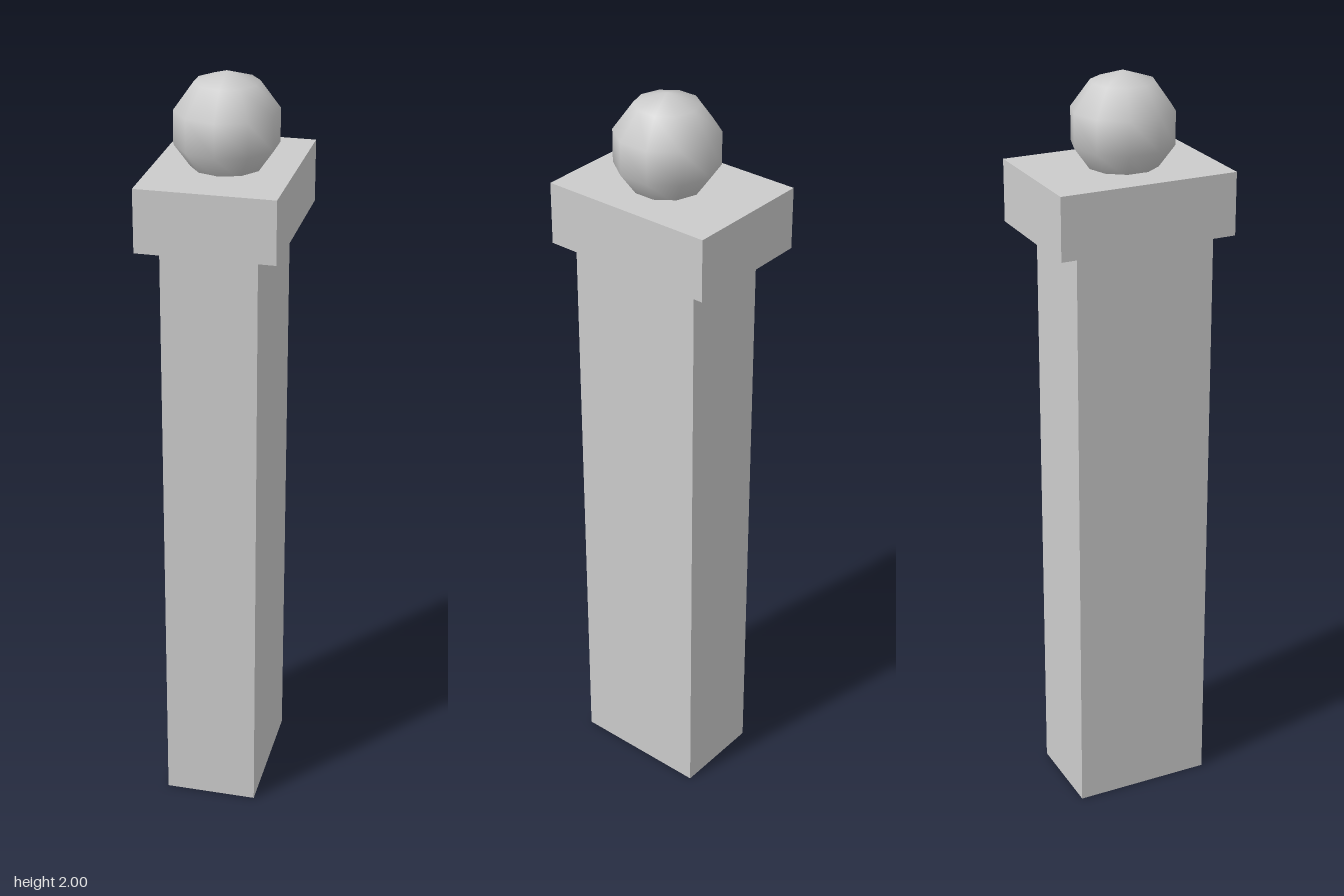
import * as THREE from 'three';

export function createModel() {
  const group = new THREE.Group();

  const add = (name, geometry, options = {}) => {
    const material = new THREE.MeshStandardMaterial({ color: 0xcccccc, ...options });
    const mesh = new THREE.Mesh(geometry, material);
    mesh.name = name;
    group.add(mesh);
    return mesh;
  };

  // Hollow rectangular shaft: four walls, open at the foot and closed above by the cap
  const shaft = new THREE.CylinderGeometry(Math.SQRT1_2, Math.SQRT1_2, 1, 4, 1, true);
  shaft.rotateY(Math.PI / 4).scale(0.245, 1.6, 0.375);
  add('shaft', shaft, { flatShading: true, side: THREE.DoubleSide }).position.set(0.002, 0.8, 0.017);

  // Overhanging slab
  add('cap', new THREE.BoxGeometry(0.352, 0.163, 0.472)).position.set(0, 1.6815, 0);

  // Low-poly ball with smooth normals, slightly sunk into the cap
  const ball = new THREE.SphereGeometry(0.138, 10, 5).rotateY(Math.PI / 2);
  add('ball', ball).position.set(0.002, 1.862, 0.012);

  return group;
}
